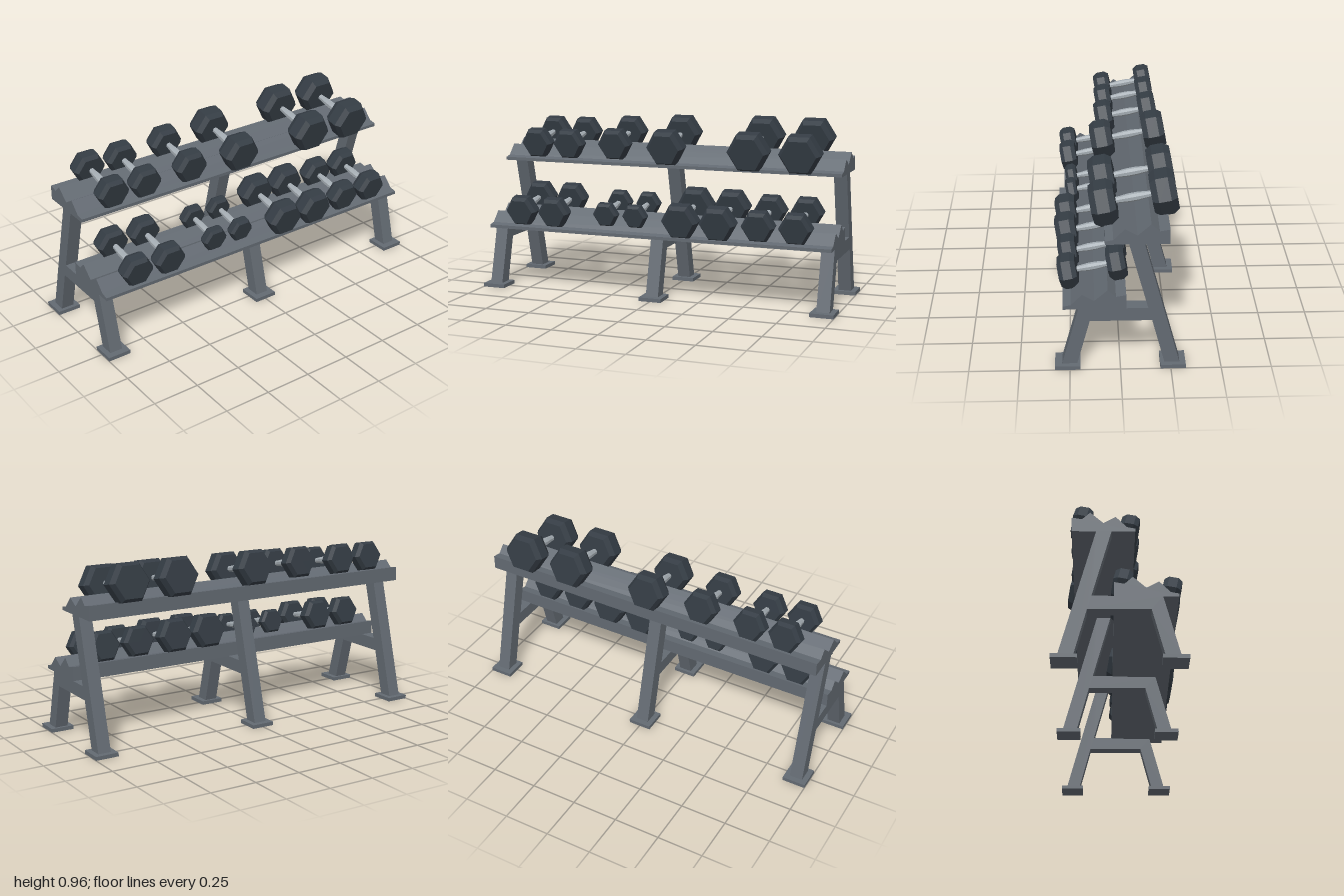
import * as THREE from 'three';

const steel = new THREE.MeshStandardMaterial({ color: 0x636a72 });
steel.name = 'greySteel';
const rubber = new THREE.MeshStandardMaterial({ color: 0x343c44 });
rubber.name = 'darkRubber';
const chrome = new THREE.MeshStandardMaterial({ color: 0xa3abb1 });
chrome.name = 'chrome';

const TILT = 0.19; // shelves and dumbbells lean towards the front

function mesh(geometry, material, name) {
  const m = new THREE.Mesh(geometry, material);
  m.name = name;
  return m;
}

// Side profile given as [z, y] points, extruded along x and centred
function sideExtrude(points, width) {
  const shape = new THREE.Shape(points.map(([z, y]) => new THREE.Vector2(z, y)));
  const g = new THREE.ExtrudeGeometry(shape, { depth: width, bevelEnabled: false });
  g.translate(0, 0, -width / 2);
  g.rotateY(-Math.PI / 2);
  return g;
}

// Faceted turned solid with its axis along z; profile is [radius, z]
function facetedLathe(profile, sides, start) {
  const pts = profile.map(([r, z]) => new THREE.Vector2(r, z));
  const g = new THREE.LatheGeometry(pts, sides, start).toNonIndexed();
  g.rotateX(Math.PI / 2);
  g.computeVertexNormals();
  return g;
}

// Hexagonal dumbbell: head radius, head thickness, half distance between heads
function dumbbell(radius, thick, half) {
  const group = new THREE.Group();
  group.name = 'dumbbell';
  const h = thick / 2, c = thick * 0.25, f = radius * 0.83;
  const head = facetedLathe(
    [[0, -h], [f, -h], [radius, -h + c], [radius, h - c], [f, h], [0, h]], 6, Math.PI / 6);
  for (const s of [1, -1]) {
    const m = mesh(head, rubber, s > 0 ? 'frontHead' : 'backHead');
    m.position.z = s * half;
    group.add(m);
  }
  // Grip swells in the middle
  const e = half - h + 0.01, r = 0.012 + radius * 0.06;
  group.add(mesh(facetedLathe(
    [[r * 0.85, -e], [r * 0.9, -e * 0.7], [r * 1.15, -e * 0.25], [r * 1.15, e * 0.25], [r * 0.9, e * 0.7], [r * 0.85, e]],
    8, Math.PI / 8), chrome, 'grip'));
  group.rotation.x = TILT;
  return group;
}

export function createModel() {
  const model = new THREE.Group();
  model.name = 'dumbbellRack';

  // Three side frames with foot plates
  const frame = sideExtrude([
    [0.29, 0.015], [0.205, 0.335], [-0.135, 0.335], [-0.04, 0.69], [-0.115, 0.69],
    [-0.295, 0.015], [-0.22, 0.015], [-0.155, 0.265], [0.15, 0.265], [0.215, 0.015],
  ], 0.07);
  const foot = new THREE.BoxGeometry(0.126, 0.02, 0.126);
  for (const x of [-0.937, 0, 0.937]) {
    const support = new THREE.Group();
    support.name = 'sideFrame';
    support.position.x = x;
    support.add(mesh(frame, steel, 'legFrame'));
    for (const s of [1, -1]) {
      const plate = mesh(foot, steel, s > 0 ? 'frontFoot' : 'backFoot');
      plate.position.set(0, 0.01, s * 0.261);
      support.add(plate);
    }
    model.add(support);
  }

  // Two shelves with ridged cradles
  const tray = sideExtrude([
    [0.075, 0.688], [0.075, 0.705], [0.035, 0.713], [-0.02, 0.77], [-0.08, 0.735],
    [-0.145, 0.794], [-0.185, 0.756], [-0.235, 0.765], [-0.235, 0.688],
  ], 1.944);
  const upper = mesh(tray, steel, 'upperShelf');
  const lower = mesh(tray, steel, 'lowerShelf');
  lower.position.set(0, -0.356, 0.207);
  model.add(upper, lower);

  // Dumbbells: x, centre y, head radius, head thickness, half spacing
  const rows = [
    { z: -0.07, items: [
      [-0.78, 0.818, 0.09, 0.09, 0.12], [-0.585, 0.818, 0.09, 0.09, 0.12],
      [-0.308, 0.829, 0.094, 0.095, 0.123], [0, 0.829, 0.106, 0.115, 0.14],
      [0.47, 0.829, 0.115, 0.122, 0.149], [0.752, 0.829, 0.115, 0.122, 0.149],
    ] },
    { z: 0.134, items: [
      [-0.78, 0.463, 0.09, 0.09, 0.122], [-0.585, 0.463, 0.09, 0.09, 0.122],
      [-0.285, 0.463, 0.072, 0.06, 0.103], [-0.115, 0.463, 0.07, 0.06, 0.103],
      [0.155, 0.466, 0.102, 0.105, 0.13], [0.363, 0.466, 0.1, 0.105, 0.13],
      [0.58, 0.463, 0.09, 0.09, 0.122], [0.78, 0.463, 0.09, 0.09, 0.122],
    ] },
  ];
  for (const { z, items } of rows) {
    for (const [x, y, radius, thick, half] of items) {
      const d = dumbbell(radius, thick, half);
      d.position.set(x, y, z);
      model.add(d);
    }
  }
  return model;
}
